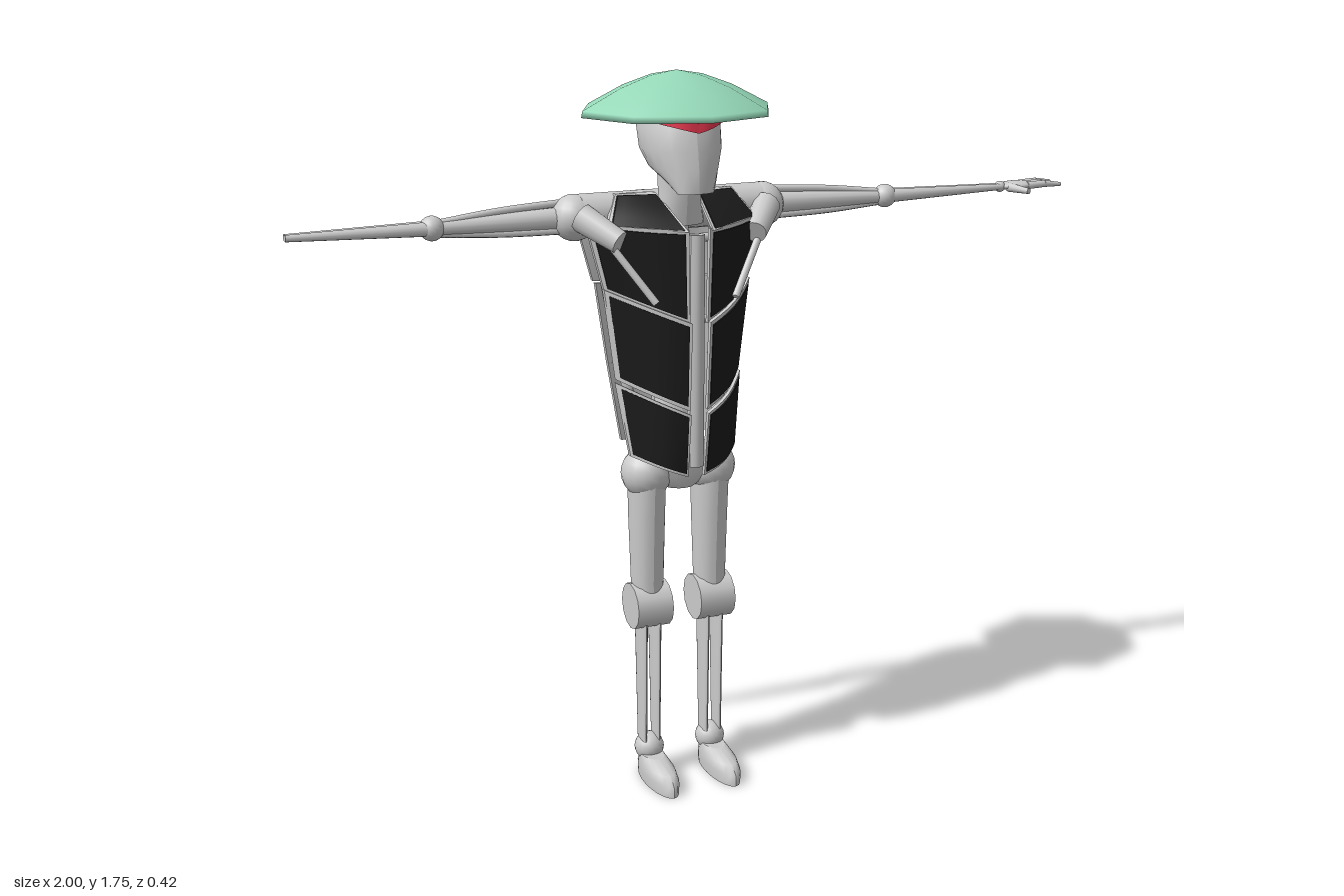
import * as THREE from 'three';

const mat = (color) => new THREE.MeshStandardMaterial({ color, side: THREE.DoubleSide });
const grey = mat(0xcccccc), black = mat(0x1a1a1a), green = mat(0x96d9b9), red = mat(0xe8384f);
const V = (a) => new THREE.Vector3(...a);

export function createModel() {
  const model = new THREE.Group();
  model.name = 'strawHatRobot';
  const body = new THREE.Group();
  body.name = 'body';
  body.position.x = -0.087;
  model.add(body);

  const add = (name, geo, material = grey, pos = [0, 0, 0]) => {
    const m = new THREE.Mesh(geo, material);
    m.name = name;
    m.position.set(...pos);
    body.add(m);
    return m;
  };
  const ball = (name, pos, r) => add(name, new THREE.SphereGeometry(r, 18, 12), grey, pos);
  // tapered round bar between two points
  const bar = (name, a, b, ra, rb, flatX = 1, flatZ = 1) => {
    const d = V(b).sub(V(a));
    const m = add(name, new THREE.CylinderGeometry(rb, ra, d.length(), 12));
    m.position.copy(V(a)).addScaledVector(d, 0.5);
    m.quaternion.setFromUnitVectors(new THREE.Vector3(0, 1, 0), d.normalize());
    m.scale.set(flatX, 1, flatZ);
    return m;
  };
  const tube = (name, pts, r) =>
    add(name, new THREE.TubeGeometry(new THREE.CatmullRomCurve3(pts.map(V)), 20, r, 8));
  // stack of ellipses [y, centreZ, halfX, halfZ], bottom to top
  const loft = (name, secs, x = 0) => {
    const n = secs.length - 1;
    const geo = new THREE.CylinderGeometry(1, 1, 1, 20, n);
    const p = geo.attributes.position;
    for (let i = 0; i < p.count; i++) {
      const [y, cz, rx, rz] = secs[Math.round((p.getY(i) + 0.5) * n)];
      p.setXYZ(i, p.getX(i) * rx, y, cz + p.getZ(i) * rz);
    }
    geo.computeVertexNormals();
    return add(name, geo, grey, [x, 0, 0]);
  };
  // bowed slab from corners: inner top, outer top, inner bottom, outer bottom
  const slab = (name, c, s, bow, thick, material, grow = 0, dz = 0) => {
    const geo = new THREE.BoxGeometry(1, 1, 1, 6, 3, 1);
    const p = geo.attributes.position;
    const [it, ot, ib, ob] = c.map(V);
    for (let i = 0; i < p.count; i++) {
      const u = s * p.getX(i) + 0.5, v = p.getY(i) + 0.5;
      const t = u + (u - 0.5) * grow, w = v + (v - 0.5) * grow;
      const bottom = ib.clone().lerp(ob, t), top = it.clone().lerp(ot, t);
      const q = bottom.lerp(top, w);
      p.setXYZ(i, q.x * s, q.y, q.z + dz + p.getZ(i) * thick + bow * Math.sin(Math.PI * u));
    }
    geo.computeVertexNormals();
    return add(name, geo, material);
  };
  // black plate over a slightly larger grey frame
  const plate = (name, c, s, bow, facing) => {
    slab(name, c, s, bow, 0.014, black);
    slab(name + 'Frame', c, s, bow, 0.014, grey, 0.1, -0.007 * facing);
  };

  // hat: eight-sided shell with a thin rim
  const hatProfile = [[0, 1.755], [0.065, 1.744], [0.14, 1.717], [0.232, 1.67], [0.235, 1.655],
    [0.215, 1.657], [0.13, 1.697], [0, 1.735]].map(([r, y]) => new THREE.Vector2(r, y));
  add('hat', new THREE.LatheGeometry(hatProfile.reverse(), 8), green).scale.z = 0.89;

  // head, neck and visor
  loft('head', [[1.485, 0.112, 0.045, 0.022], [1.51, 0.085, 0.06, 0.05], [1.54, 0.04, 0.08, 0.093],
    [1.58, 0.022, 0.095, 0.105], [1.63, 0.01, 0.097, 0.107], [1.69, 0, 0.085, 0.09]]);
  loft('neck', [[1.4, 0, 0.065, 0.055], [1.47, 0.015, 0.05, 0.05], [1.56, 0.02, 0.055, 0.055]]);

  // torso core: spine, sternum, belly and shoulder crossbar
  bar('spine', [0, 0.8, -0.03], [0, 1.45, -0.035], 0.045, 0.04);
  for (const s of [-1, 1])
    tube('spineCable', [[s * 0.025, 0.84, -0.06], [s * 0.028, 1.1, -0.085], [s * 0.025, 1.42, -0.07]], 0.014);
  loft('belly', [[0.8, 0, 0.07, 0.055], [0.9, -0.01, 0.06, 0.045], [1.05, -0.02, 0.045, 0.035]]);
  slab('sternum', [[-0.018, 1.39, 0.115], [0.018, 1.39, 0.115], [-0.018, 0.83, 0.105], [0.018, 0.83, 0.105]],
    1, 0.008, 0.02, grey);
  bar('shoulderCrossbar', [-0.23, 1.425, -0.045], [0.23, 1.425, -0.045], 0.05, 0.05);
  loft('pelvis', [[0.755, 0, 0.04, 0.04], [0.79, 0, 0.1, 0.055], [0.84, 0, 0.12, 0.055]]);

  const frontPlates = {
    chestPlate: [[0.035, 1.395, 0.13], [0.215, 1.405, 0.0], [0.03, 1.195, 0.125], [0.178, 1.255, 0.0]],
    ribPlate: [[0.03, 1.18, 0.14], [0.178, 1.24, 0.01], [0.028, 0.985, 0.125], [0.153, 1.04, 0.01]],
    bellyPlate: [[0.028, 0.96, 0.13], [0.153, 1.015, 0.015], [0.026, 0.815, 0.11], [0.132, 0.855, 0.035]],
    collarPlate: [[0.055, 1.47, 0.0], [0.145, 1.47, -0.015], [0.038, 1.405, 0.135], [0.18, 1.41, 0.04]],
  };
  const backPlates = {
    upperBackPlate: [[0.05, 1.455, -0.105], [0.225, 1.45, -0.1], [0.045, 1.25, -0.118], [0.185, 1.27, -0.08]],
    middleBackPlate: [[0.045, 1.235, -0.1], [0.182, 1.25, -0.06], [0.042, 1.06, -0.095], [0.158, 1.07, -0.057]],
    lowerBackPlate: [[0.042, 1.045, -0.093], [0.156, 1.055, -0.056], [0.038, 0.87, -0.075], [0.13, 0.88, -0.05]],
  };

  for (const s of [-1, 1]) {
    slab('visor', [[0, 1.645, 0.124], [0.078, 1.66, 0.085], [0, 1.623, 0.126], [0.078, 1.643, 0.085]],
      s, 0.014, 0.012, red);
    for (const [name, c] of Object.entries(frontPlates)) plate(name, c, s, name === 'collarPlate' ? 0 : 0.025, 1);
    for (const [name, c] of Object.entries(backPlates)) plate(name, c, s, -0.008, -1);

    // side struts and shoulder straps
    tube('sideStrut', [[s * 0.19, 1.38, -0.035], [s * 0.15, 1.15, -0.025], [s * 0.09, 0.83, -0.01]], 0.014);
    bar('shoulderStrap', [s * 0.235, 1.425, -0.01], [s * 0.17, 1.375, 0.07], 0.035, 0.028);
    bar('chestBrace', [s * 0.19, 1.37, 0.055], [s * 0.1, 1.235, 0.115], 0.009, 0.009);
    for (const y of [1.35, 1.15, 0.93])
      bar('rib', [0, y, -0.04], [s * (0.06 + (y - 0.8) * 0.18), y, -0.05], 0.012, 0.01);

    // arm
    ball('shoulder', [s * 0.24, 1.42, -0.047], 0.055);
    bar('upperArm', [s * 0.24, 1.42, -0.05], [s * 0.58, 1.417, -0.05], 0.028, 0.016);
    tube('upperArmTopStrut', [[s * 0.25, 1.455, -0.06], [s * 0.42, 1.445, -0.055], [s * 0.57, 1.428, -0.05]], 0.009);
    tube('upperArmLowStrut', [[s * 0.25, 1.392, -0.04], [s * 0.42, 1.395, -0.045], [s * 0.57, 1.405, -0.05]], 0.009);
    tube('upperArmBackStrut', [[s * 0.25, 1.42, -0.085], [s * 0.4, 1.42, -0.1], [s * 0.5, 1.42, -0.088],
      [s * 0.58, 1.417, -0.055]], 0.007);
    ball('elbow', [s * 0.58, 1.418, -0.05], 0.029);
    for (const dz of [-0.008, 0.008])
      bar('forearm', [s * 0.58, 1.418, -0.05 + dz], [s * 0.913, 1.42, -0.05 + dz * 0.8], 0.017, 0.008);

    // leg
    const x = s * 0.083;
    ball('hip', [x, 0.795, 0], 0.063);
    loft('thigh', [[0.46, 0, 0.036, 0.04], [0.52, -0.003, 0.04, 0.043], [0.68, -0.003, 0.044, 0.052],
      [0.79, 0, 0.046, 0.058]], x);
    bar('knee', [x - 0.046, 0.455, 0], [x + 0.046, 0.455, 0], 0.058, 0.058);
    for (const dx of [-0.018, 0.018])
      loft('shinPlate', [[0.07, 0, 0.008, 0.024], [0.25, 0, 0.009, 0.03], [0.43, 0, 0.01, 0.037]], x + dx);
    ball('ankle', [x, 0.073, 0], 0.037);
    loft('foot', [[0, 0.06, 0.035, 0.105], [0.028, 0.06, 0.037, 0.105], [0.048, 0.052, 0.034, 0.09],
      [0.062, 0.02, 0.028, 0.045]], x);
  }

  // left hand: flat palm, fingers and thumb
  ball('wrist', [0.913, 1.42, -0.05], 0.014);
  ball('palm', [0.96, 1.42, -0.052], 0.05).scale.set(1, 0.24, 0.62);
  for (const [z, tipX, tipZ] of [[-0.072, 1.083, -0.082], [-0.052, 1.065, -0.056], [-0.034, 1.083, -0.032]]) {
    bar('finger', [0.985, 1.42, z], [1.035, 1.422, (z + tipZ) / 2], 0.01, 0.009);
    bar('fingerTip', [1.035, 1.422, (z + tipZ) / 2], [tipX, 1.418, tipZ], 0.009, 0.005);
  }
  bar('thumb', [0.935, 1.418, -0.04], [0.955, 1.415, 0.022], 0.012, 0.007);

  return model;
}
